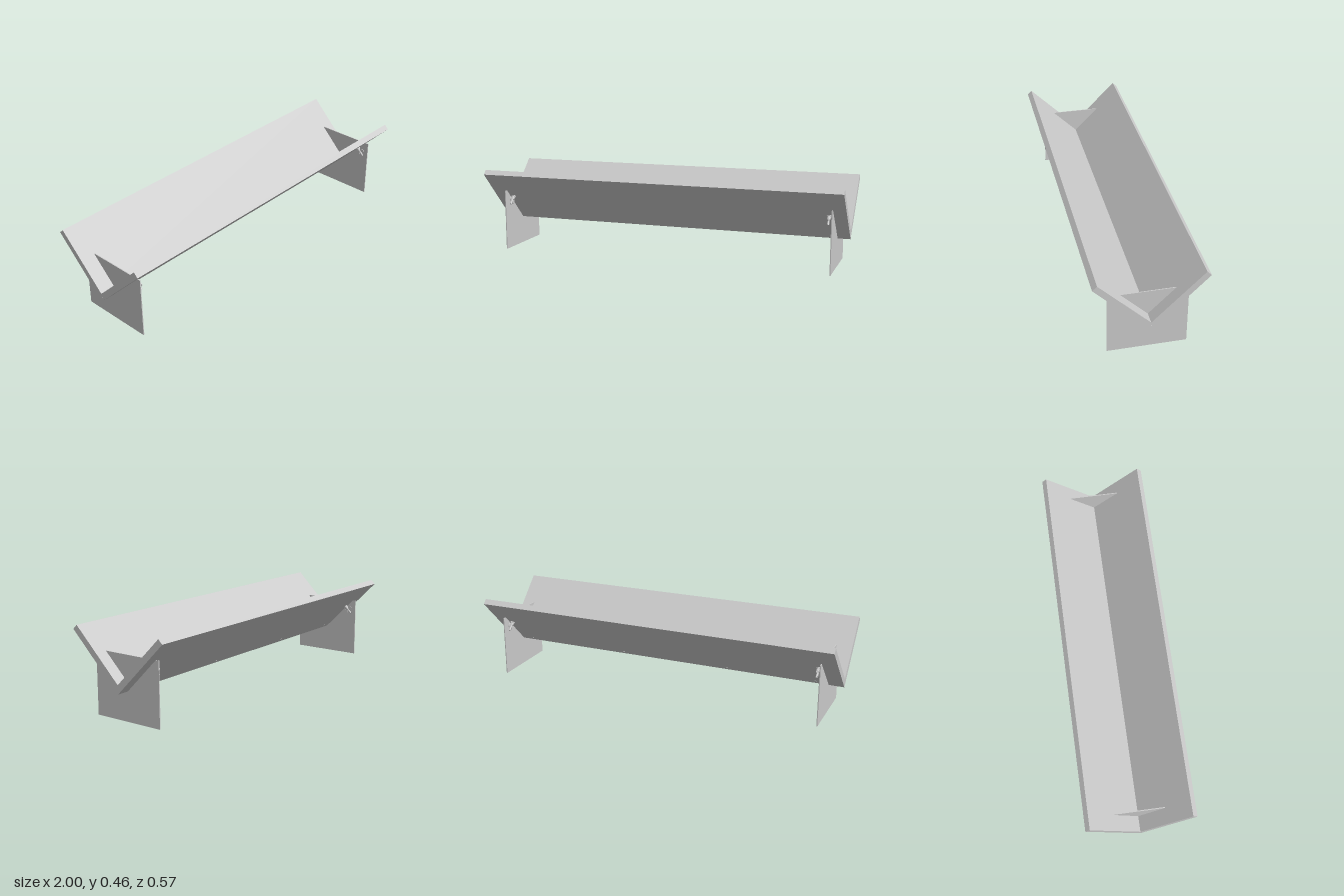
import * as THREE from 'three';

const mat = new THREE.MeshStandardMaterial({ color: 0xcccccc });

function add(parent, name, geometry, x = 0, y = 0, z = 0) {
  const mesh = new THREE.Mesh(geometry, mat);
  mesh.name = name;
  mesh.position.set(x, y, z);
  parent.add(mesh);
  return mesh;
}

// Wing screw built along +y, wings spread across x
function wingScrew() {
  const g = new THREE.Group();
  g.name = 'wingScrew';
  add(g, 'washer', new THREE.CylinderGeometry(0.014, 0.014, 0.004, 20), 0, 0.002, 0);
  add(g, 'nutBody', new THREE.CylinderGeometry(0.007, 0.011, 0.018, 20), 0, 0.013, 0);
  add(g, 'bolt', new THREE.CylinderGeometry(0.005, 0.005, 0.054, 16), 0, 0.027, 0);
  for (const s of [-1, 1]) {
    const wing = add(g, 'wing', new THREE.CylinderGeometry(0.01, 0.01, 0.004, 16), 0, 0.026, s * 0.016);
    wing.rotation.z = Math.PI / 2;
    wing.scale.x = 1.3;
    wing.rotation.x = s * 0.4;
  }
  return g;
}

export function createModel() {
  const root = new THREE.Group();
  root.name = 'vTrough';

  // V-shaped trough, extruded along x
  const v = new THREE.Shape([
    [0, 0.153], [0.283, 0.436], [0.26, 0.459], [0, 0.2], [-0.26, 0.459], [-0.283, 0.436],
  ].map(([z, y]) => new THREE.Vector2(z, y)));
  const trough = new THREE.ExtrudeGeometry(v, { depth: 2, bevelEnabled: false });
  trough.translate(0, 0, -1).rotateY(Math.PI / 2);
  add(root, 'trough', trough);

  // Pins at the joint of the two boards
  for (const s of [-1, 1]) {
    const pin = add(root, 'endPin', new THREE.CylinderGeometry(0.005, 0.005, 0.02, 16), s * 0.9905, 0.176, 0);
    pin.rotation.z = Math.PI / 2;
  }

  // Thin support plates, each with a wing screw under either board
  for (const [x, inward] of [[-0.915, 1], [0.93, -1]]) {
    const support = new THREE.Group();
    support.name = 'support';
    support.position.x = x;
    root.add(support);
    add(support, 'supportPlate', new THREE.BoxGeometry(0.005, 0.335, 0.4), 0, 0.1675, 0);
    for (const s of [-1, 1]) {
      const screw = wingScrew();
      screw.position.set(inward * 0.022, 0.296, s * 0.143);
      screw.rotation.x = s * Math.PI * 0.75;
      support.add(screw);
    }
  }

  // Flush joint screws along the lower edge of the back board
  for (const x of [-0.85, -0.36, 0.26, 0.85]) {
    const screw = add(root, 'jointScrew', new THREE.CylinderGeometry(0.005, 0.005, 0.004, 12), x, 0.17, -0.017);
    screw.rotation.x = -Math.PI * 0.75;
  }
  return root;
}
